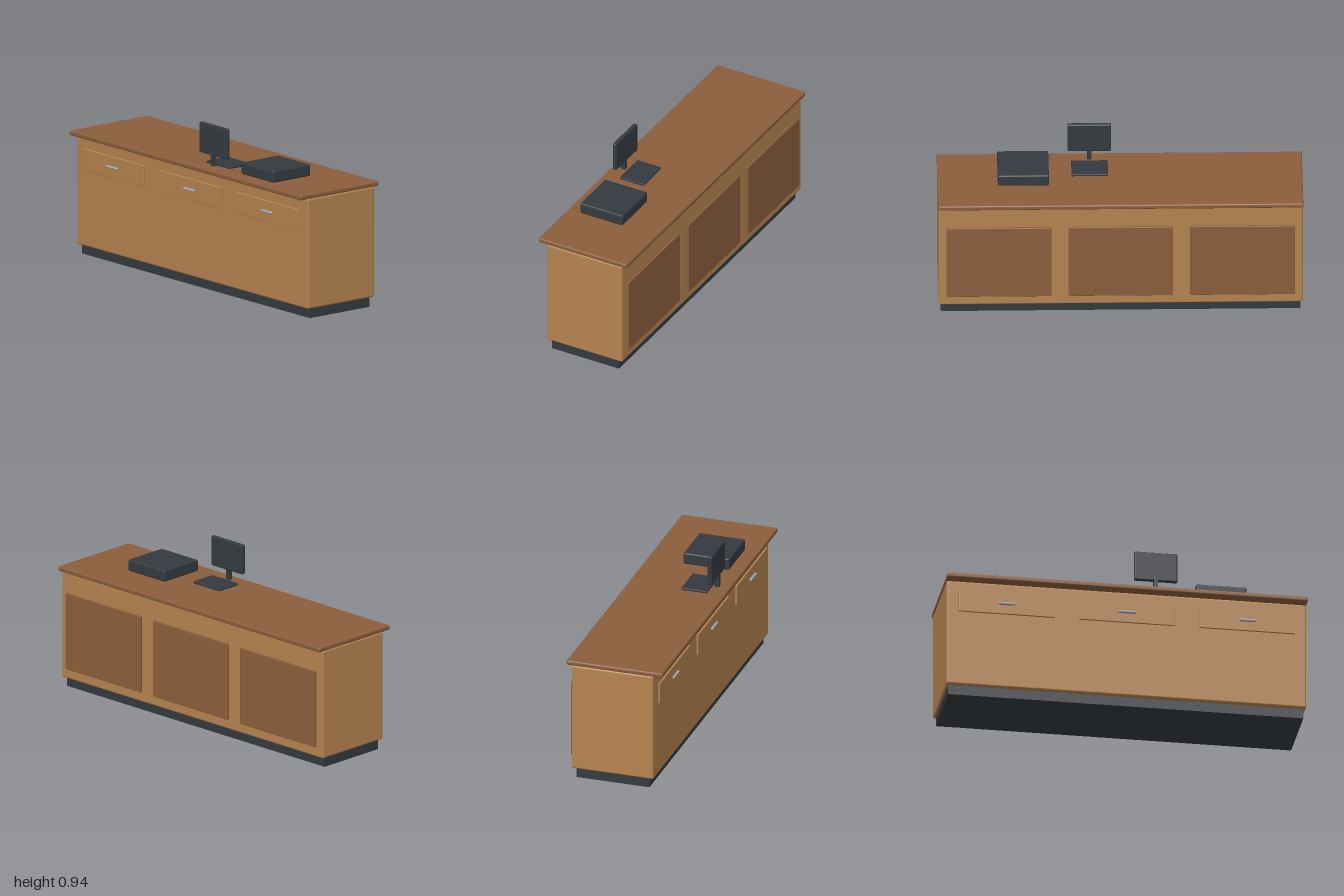
import * as THREE from 'three';
import { RoundedBoxGeometry } from 'three/addons/geometries/RoundedBoxGeometry.js';

const material = (name, color) => {
  const m = new THREE.MeshStandardMaterial({ color });
  m.name = name;
  return m;
};

export function createModel() {
  const lightWood = material('light wood', 0xb5834f);
  const darkWood = material('dark wood', 0x8b5e3c);
  const charcoal = material('charcoal', 0x343a40);
  const metal = material('metal', 0xa0a5ab);

  const group = new THREE.Group();
  group.name = 'serviceCounter';

  // Box given by its [min, max] on each axis, with optional rounded edges
  const addBox = (name, mat, [x0, x1], [y0, y1], [z0, z1], radius = 0) => {
    const size = [x1 - x0, y1 - y0, z1 - z0];
    const geometry = radius
      ? new RoundedBoxGeometry(...size, 3, radius)
      : new THREE.BoxGeometry(...size);
    const mesh = new THREE.Mesh(geometry, mat);
    mesh.position.set((x0 + x1) / 2, (y0 + y1) / 2, (z0 + z1) / 2);
    mesh.name = name;
    group.add(mesh);
  };

  // Cabinet
  addBox('plinth', charcoal, [-0.985, 0.985], [0, 0.06], [-0.222, 0.199]);
  addBox('cabinetBody', lightWood, [-0.998, 0.998], [0.055, 0.675], [-0.248, 0.224], 0.01);
  addBox('countertop', darkWood, [-1, 1], [0.675, 0.702], [-0.277, 0.277], 0.008);

  // Three bays: drawer and handle in front, panel behind
  for (const x of [-0.667, 0, 0.667]) {
    addBox('drawerFront', lightWood, [x - 0.266, x + 0.266], [0.488, 0.608], [0.23, 0.241], 0.003);
    addBox('drawerHandle', metal, [x - 0.048, x + 0.048], [0.54, 0.556], [0.238, 0.254], 0.0075);
    addBox('backPanel', darkWood, [x - 0.287, x + 0.287], [0.115, 0.554], [-0.266, -0.252], 0.004);
  }

  // Monitor
  addBox('monitorBase', charcoal, [0.065, 0.265], [0.702, 0.715], [0.03, 0.18], 0.004);
  addBox('monitorStand', charcoal, [0.152, 0.176], [0.708, 0.774], [0.196, 0.22]);
  addBox('monitorScreen', charcoal, [0.045, 0.285], [0.764, 0.935], [0.189, 0.214], 0.008);

  // Cash drawer
  addBox('cashDrawer', charcoal, [0.39, 0.67], [0.702, 0.768], [-0.066, 0.2], 0.009);

  return group;
}
